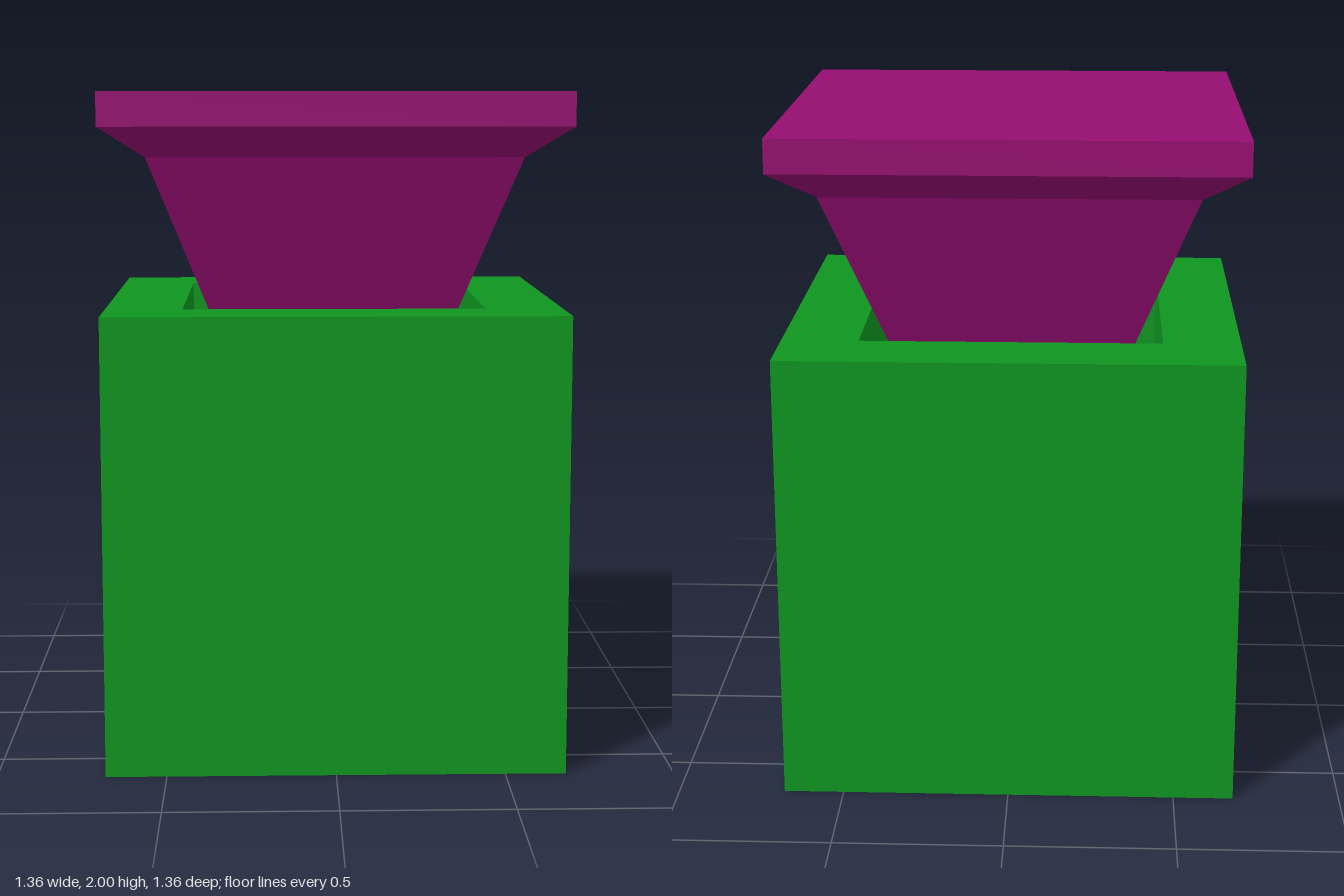
import * as THREE from 'three';

// Square solid of revolution: profile pairs are [half width, height], listed from the bottom centre
function squareTurned(name, profile, color) {
  const points = profile.map(([half, y]) => new THREE.Vector2(half * Math.SQRT2, y));
  const geometry = new THREE.LatheGeometry(points, 4, Math.PI / 4).toNonIndexed();
  geometry.computeVertexNormals();
  const material = new THREE.MeshStandardMaterial({ color, flatShading: true });
  const mesh = new THREE.Mesh(geometry, material);
  mesh.name = name;
  return mesh;
}

export function createModel() {
  const model = new THREE.Group();
  model.name = 'boxWithStopper';

  // Hollow box with a square opening in its top
  model.add(squareTurned('box', [
    [0, 0], [0.68, 0], [0.68, 1.36], [0.45, 1.36], [0.45, 0.23], [0, 0.23],
  ], 0x0e9520));

  // Tapered stopper reaching into the opening, with a chamfered slab on top
  model.add(squareTurned('stopper', [
    [0, 1.0], [0.24, 1.0], [0.55, 1.81], [0.68, 1.9], [0.68, 2], [0, 2],
  ], 0x940d70));

  return model;
}
